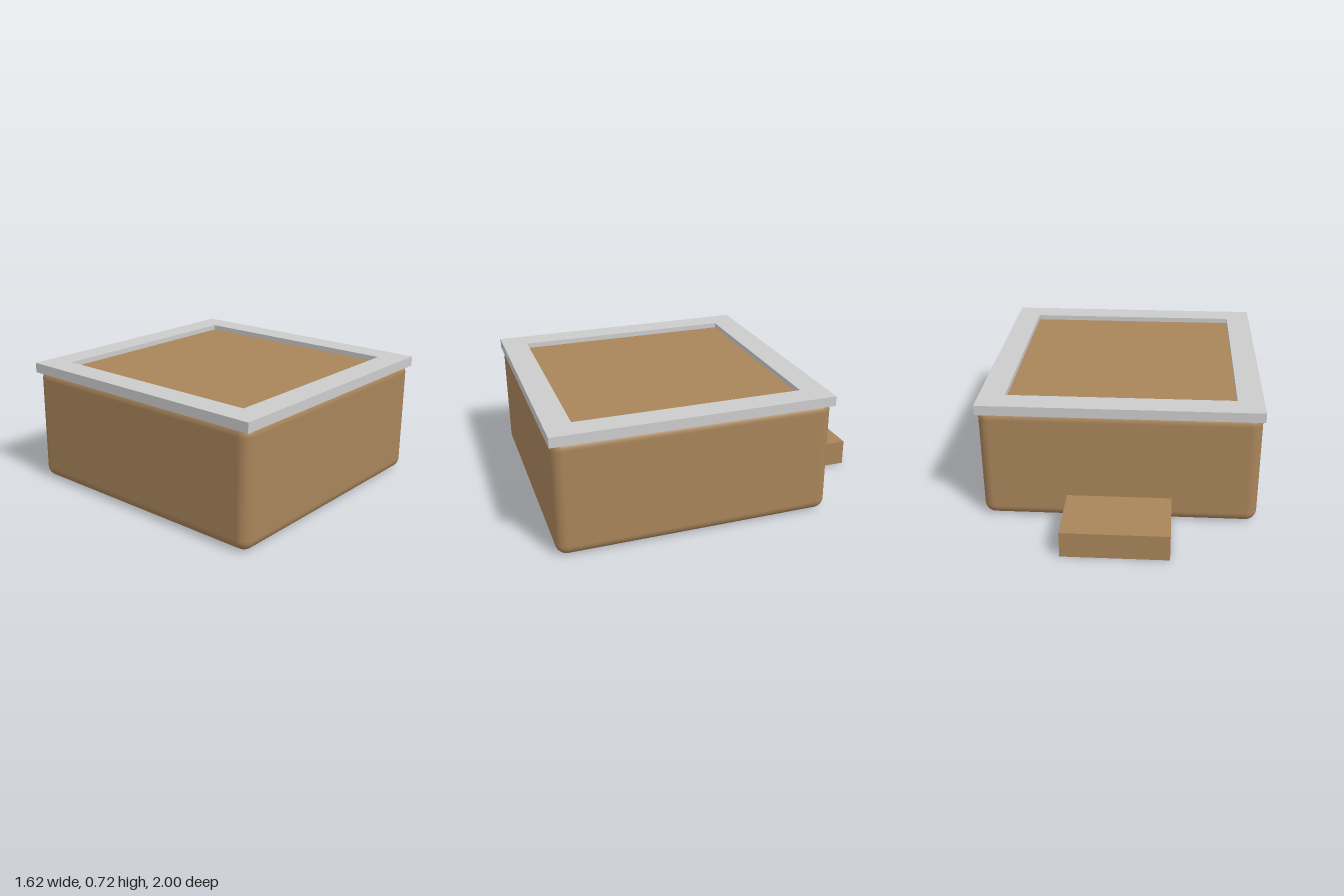
import * as THREE from 'three';
import { RoundedBoxGeometry } from 'three/addons/geometries/RoundedBoxGeometry.js';

const CENTRE_Z = 0.189;

function squareOutline(PathType, half) {
  const p = new PathType();
  p.moveTo(-half, -half);
  p.lineTo(half, -half);
  p.lineTo(half, half);
  p.lineTo(-half, half);
  p.closePath();
  return p;
}

export function createModel() {
  const wood = new THREE.MeshStandardMaterial({ color: 0xa8845a });
  wood.name = 'wood brown';
  const grey = new THREE.MeshStandardMaterial({ color: 0xcccccc });
  grey.name = 'rim grey';

  const group = new THREE.Group();
  group.name = 'tub';
  const add = (name, geometry, material, x, y, z) => {
    const mesh = new THREE.Mesh(geometry, material);
    mesh.name = name;
    mesh.position.set(x, y, z);
    group.add(mesh);
    return mesh;
  };

  // Rounded tub body, its flat top lying just below the rim's upper face
  const height = 0.693;
  add('body', new RoundedBoxGeometry(1.606, height, 1.606, 6, 0.065), wood, 0, height / 2, CENTRE_Z);

  // Square rim frame with an open middle
  const frame = squareOutline(THREE.Shape, 0.811);
  frame.holes.push(squareOutline(THREE.Path, 0.66));
  const rimGeometry = new THREE.ExtrudeGeometry(frame, { depth: 0.058, bevelEnabled: false });
  rimGeometry.rotateX(-Math.PI / 2);
  add('rim', rimGeometry, grey, 0, 0.666, CENTRE_Z);

  // Entry step against the back wall
  add('step', new THREE.BoxGeometry(0.61, 0.155, 0.386), wood, 0, 0.0775, -0.807);

  return group;
}
